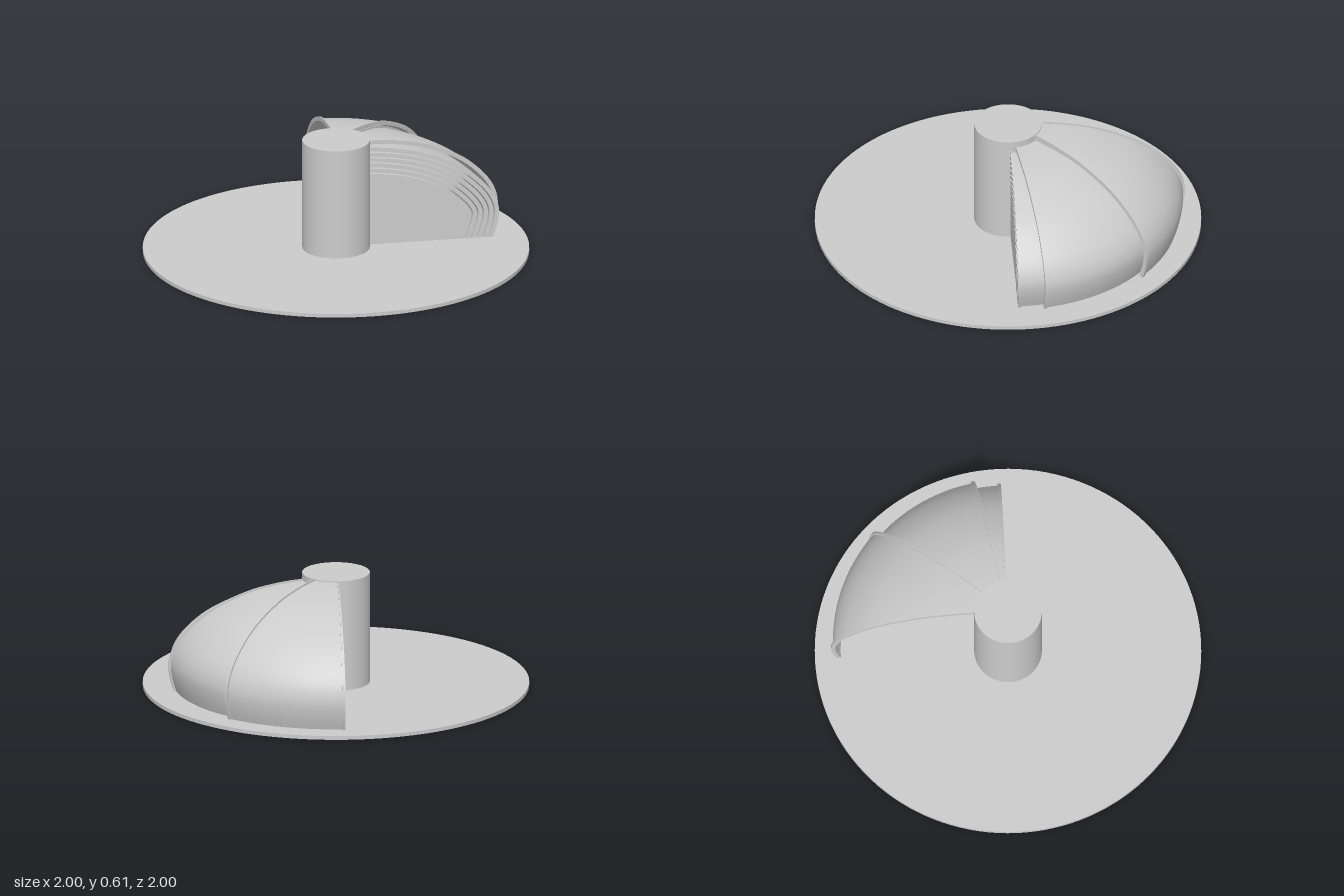
import * as THREE from 'three';
import { mergeGeometries, toCreasedNormals } from 'three/addons/utils/BufferGeometryUtils.js';

const FLOOR = 0.02, HUB = 0.172, SHELLS = 8, STEP = 0.029, SKIN = 0.012, LIP = 0.01;
const rad = THREE.MathUtils.degToRad;

// Outer profile of the largest shell (radius, height), from hub down to floor
const curve = new THREE.SplineCurve([
  [0.1, 0.609], [0.18, 0.603], [0.3, 0.591], [0.45, 0.561], [0.6, 0.505], [0.72, 0.437],
  [0.82, 0.348], [0.88, 0.263], [0.905, 0.18], [0.9, 0.1], [0.875, 0.01], [0.84, -0.08],
].map(p => new THREE.Vector2(...p)));

// Profile moved inward by d along its normal, cut off at hub and floor
function profile(d) {
  const raw = [];
  for (let i = 0; i <= 60; i++) {
    const p = curve.getPoint(i / 60), t = curve.getTangent(i / 60);
    raw.push(new THREE.Vector2(p.x + t.y * d, p.y - t.x * d));
  }
  const out = [];
  for (let i = 0; i < 60; i++) {
    const a = raw[i], b = raw[i + 1];
    if (a.x < HUB && b.x >= HUB) out.push(a.clone().lerp(b, (HUB - a.x) / (b.x - a.x)));
    if (b.x > HUB + 0.002 && b.y > FLOOR + 0.002) out.push(b);
    if (a.y > FLOOR && b.y <= FLOOR) {
      out.push(a.clone().lerp(b, (a.y - FLOOR) / (a.y - b.y)));
      break;
    }
  }
  return out;
}

// Solid swept band between two profiles; angles run from +x towards -z
function band(outer, inner, from, to, segments) {
  const loop = [...profile(outer).reverse(), ...profile(inner)];
  const lathe = new THREE.LatheGeometry([...loop, loop[0].clone()], segments,
    Math.PI / 2 + rad(from), rad(to - from));
  const caps = [from, to].map(a =>
    new THREE.ShapeGeometry(new THREE.Shape(loop)).rotateY(rad(a)).toNonIndexed());
  return mergeGeometries([toCreasedNormals(lathe, 0.6), ...caps]);
}

export function createModel() {
  const group = new THREE.Group();
  const solid = new THREE.MeshStandardMaterial({ color: 0xcccccc });
  const thin = new THREE.MeshStandardMaterial({ color: 0xcccccc, side: THREE.DoubleSide });
  const add = (name, geometry, material, parent = group) => {
    const mesh = new THREE.Mesh(geometry, material);
    mesh.name = name;
    parent.add(mesh);
    return mesh;
  };

  // Round floor and central column
  add('floorDisc', new THREE.CylinderGeometry(1, 1, FLOOR, 128), solid).position.y = FLOOR / 2;
  add('centralColumn', new THREE.CylinderGeometry(0.175, 0.175, 0.61 - FLOOR, 64), solid)
    .position.y = (0.61 + FLOOR) / 2;

  // Telescoping shells: two fanned out, the rest nested at the start
  for (let k = 0; k < SHELLS; k++) {
    const from = [48, 9][k] ?? 0, to = from + 42;
    const shell = new THREE.Group();
    shell.name = 'shell' + (k + 1);
    const d = k * STEP;
    add('shellSkin', band(d, d + SKIN, from, to, 28), thin, shell);
    // Raised rims along both ends
    add('nearRim', band(d - LIP, d + 0.001, from - 0.05, from + 1, 1), thin, shell);
    add('farRim', band(d - LIP, d + 0.001, to - 1, to + 0.05, 1), thin, shell);
    group.add(shell);
  }

  // Flat wall closing the smallest shell
  const edge = profile((SHELLS - 1) * STEP + SKIN / 2);
  const wall = new THREE.Shape([
    new THREE.Vector2(0.16, FLOOR), ...edge.slice().reverse(), new THREE.Vector2(0.16, edge[0].y),
  ]);
  add('endWall', new THREE.ExtrudeGeometry(wall, { depth: 0.008, bevelEnabled: false }), solid)
    .position.z = -0.01;

  return group;
}
